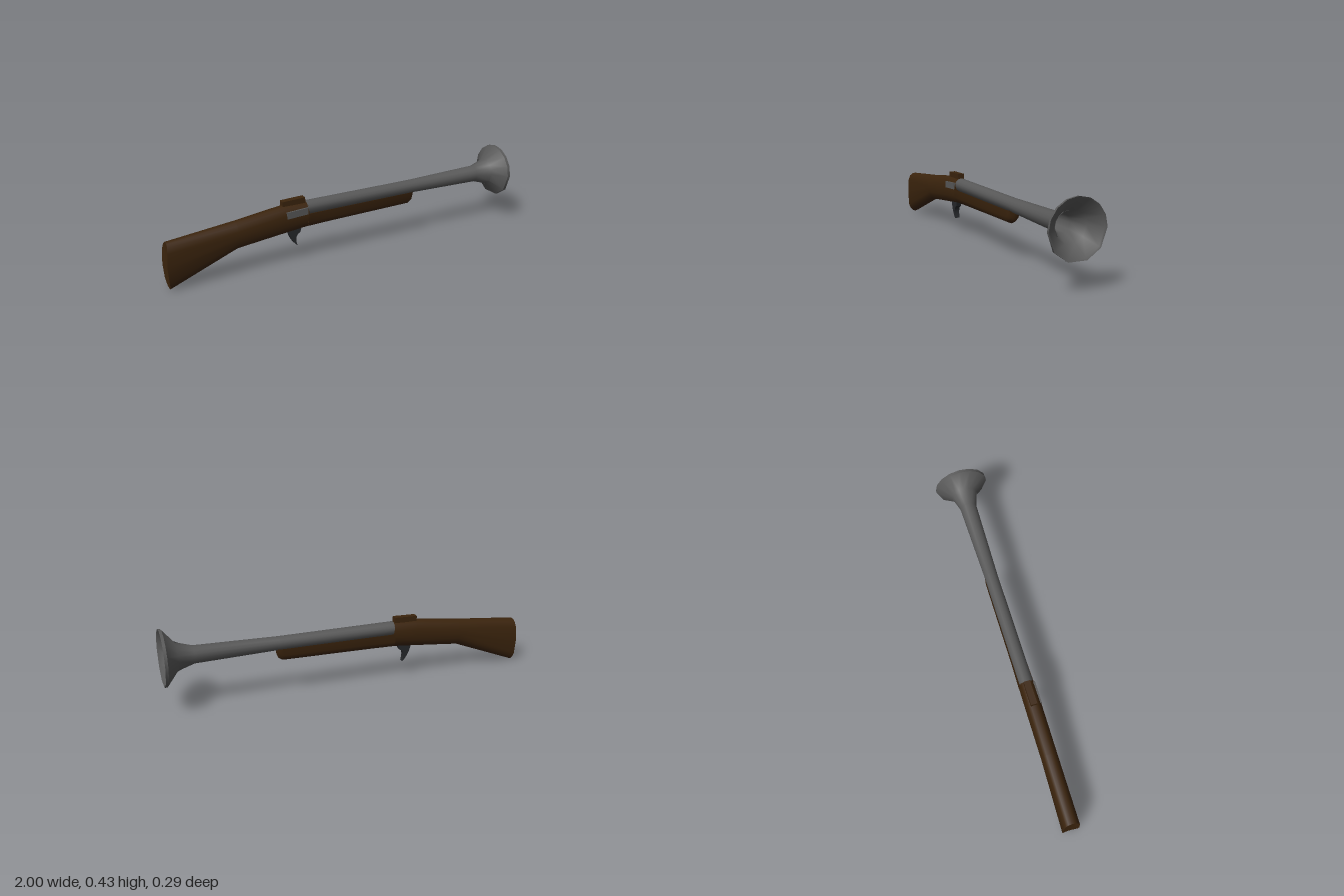
import * as THREE from 'three';
import { toCreasedNormals } from 'three/addons/utils/BufferGeometryUtils.js';

const wood = new THREE.MeshStandardMaterial({ color: 0x3b240d });
const metal = new THREE.MeshStandardMaterial({ color: 0x585858 });
const iron = new THREE.MeshStandardMaterial({ color: 0x26282b });

// Skins rings of points that run counter-clockwise seen from +x.
function loft(rings, caps, crease = 0.6) {
  const pos = [];
  const tri = (a, b, c) => pos.push(...a, ...b, ...c);
  const n = rings[0].length;
  for (let i = 0; i + 1 < rings.length; i++) {
    for (let j = 0; j < n; j++) {
      const k = (j + 1) % n, p = rings[i], q = rings[i + 1];
      tri(p[j], p[k], q[k]);
      tri(p[j], q[k], q[j]);
    }
  }
  if (caps) {
    const centre = (r) => [0, 1, 2].map((c) => r.reduce((s, p) => s + p[c], 0) / n);
    const first = rings[0], last = rings[rings.length - 1];
    for (let j = 0; j < n; j++) {
      const k = (j + 1) % n;
      tri(centre(first), first[k], first[j]);
      tri(centre(last), last[j], last[k]);
    }
  }
  const geo = new THREE.BufferGeometry();
  geo.setAttribute('position', new THREE.Float32BufferAttribute(pos, 3));
  return toCreasedNormals(geo, crease);
}

// Mirrors a half section, listed bottom to top as [z, y], into a full ring.
function mirrorRing(half, xAt) {
  const back = half.map(([z, y]) => [xAt(y), y, -z]);
  const front = half.slice(1, -1).reverse().map(([z, y]) => [xAt(y), y, z]);
  return [...back, ...front];
}

export function createModel() {
  const model = new THREE.Group();
  const add = (name, geo, mat) => {
    const mesh = new THREE.Mesh(geo, mat);
    mesh.name = name;
    model.add(mesh);
    return mesh;
  };

  // Butt and receiver: rounded section, slightly bowed butt plate
  const stockRing = ([x, low, high, w], i) => mirrorRing([
    [0, low], [0.42 * w, low + 0.006], [0.72 * w, low + 0.02], [0.94 * w, low + 0.045],
    [w, (low + high) / 2], [0.97 * w, high - 0.045], [0.75 * w, high - 0.016],
    [0.42 * w, high - 0.004], [0, high],
  ], (y) => x + (i ? 0 : 0.013 * ((2 * (y - low)) / (high - low) - 1) ** 2));
  add('stock', loft([
    [-1, 0.0, 0.25, 0.043], [-0.63, 0.14, 0.287, 0.043],
    [-0.37, 0.167, 0.32, 0.043], [-0.237, 0.18, 0.32, 0.042],
  ].map(stockRing), true), wood);

  // Fore-end with a channel for the barrel
  const foreRing = ([x, low, w]) => mirrorRing([
    [0, low], [0.42 * w, low + 0.005], [0.75 * w, low + 0.016], [0.95 * w, low + 0.036],
    [w, 0.262], [0.55 * w, 0.253], [0, 0.248],
  ], () => x);
  add('foreEnd', loft([
    [-0.24, 0.18, 0.042], [-0.1, 0.183, 0.039], [0.385, 0.19, 0.037], [0.405, 0.203, 0.033], [0.412, 0.22, 0.028],
  ].map(foreRing), true), wood);

  // Flared barrel: outside, lip, then the bore back to the breech
  const angles = [-71, -38, 0, 22.5, 45, 67.5, 90, 112.5, 135, 157.5, 180, 218, 251];
  const barrelRing = ([x, r]) => angles.map((d) => {
    const a = THREE.MathUtils.degToRad(d);
    return [x, 0.285 + r * Math.sin(a), -r * Math.cos(a)];
  });
  add('barrel', loft([
    [-0.24, 0.037], [0.4, 0.036], [0.84, 0.046], [0.925, 0.072], [0.985, 0.145], [1, 0.146],
    [0.995, 0.137], [0.935, 0.08], [0.86, 0.045], [0.4, 0.0345], [-0.24, 0.0345],
  ].map(barrelRing), false, 0.75), metal);

  // Breech window on the front side
  const window = add('breechWindow', new THREE.BoxGeometry(0.12, 0.036, 0.012), metal);
  window.position.set(-0.303, 0.277, 0.038);
  window.rotation.z = 0.05;

  // Raised breech cover
  const cover = add('breechCover', new THREE.BoxGeometry(0.128, 0.03, 0.034), wood);
  cover.position.set(-0.31, 0.33, -0.002);
  cover.rotation.z = 0.03;

  // Curved trigger
  const shape = new THREE.Shape();
  shape.moveTo(-0.345, 0.175);
  shape.quadraticCurveTo(-0.33, 0.115, -0.296, 0.086);
  shape.quadraticCurveTo(-0.315, 0.145, -0.278, 0.158);
  shape.lineTo(-0.27, 0.185);
  const triggerGeo = new THREE.ExtrudeGeometry(shape, { depth: 0.028, bevelEnabled: false, curveSegments: 5 });
  triggerGeo.translate(0, 0, -0.014);
  add('trigger', toCreasedNormals(triggerGeo, 0.6), iron);

  return model;
}
